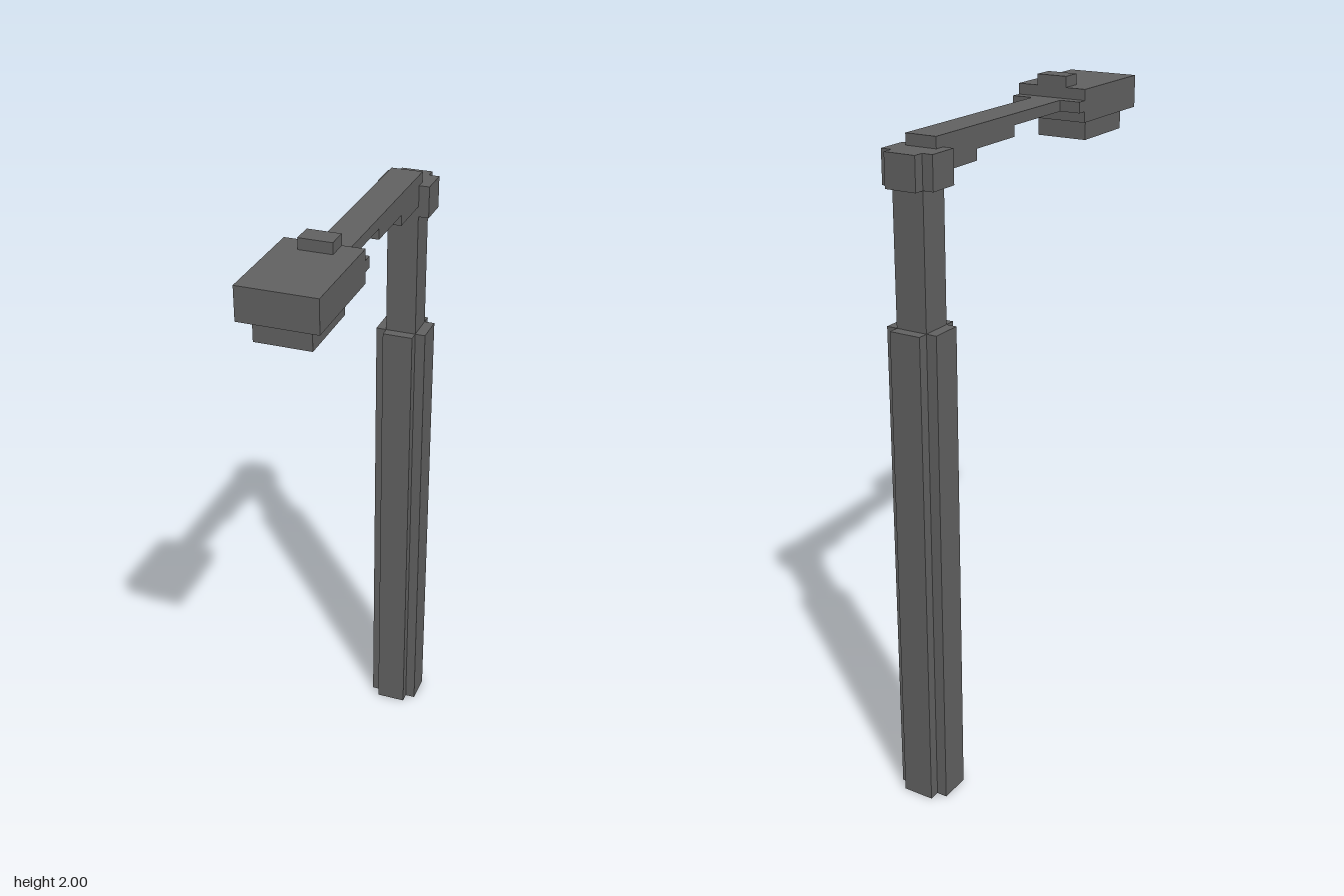
import * as THREE from 'three';

const U = 1 / 32; // modelling unit: the whole lamp is 64 units tall

export function createModel() {
  const lamp = new THREE.Group();
  lamp.name = 'streetLamp';
  const metal = new THREE.MeshStandardMaterial({ color: 0x606060 });
  metal.name = 'darkGreyMetal';

  const add = (name, geometry) => {
    const mesh = new THREE.Mesh(geometry, metal);
    mesh.name = name;
    lamp.add(mesh);
  };

  // Box centred on x, given its half width and its y and z limits in units
  const block = (name, halfX, y0, y1, z0, z1) => {
    const g = new THREE.BoxGeometry(2 * halfX * U, (y1 - y0) * U, (z1 - z0) * U);
    add(name, g.translate(0, (y0 + y1) / 2 * U, (z0 + z1) / 2 * U));
  };

  // Upright prism from half an outline of [x, z] points, mirrored in x
  const prism = (name, half, y0, y1) => {
    const outline = [...half, ...half.map(([x, z]) => [-x, z]).reverse()];
    const shape = new THREE.Shape(outline.map(([x, z]) => new THREE.Vector2(x * U, -z * U)));
    const g = new THREE.ExtrudeGeometry(shape, { depth: (y1 - y0) * U, bevelEnabled: false });
    add(name, g.rotateX(-Math.PI / 2).translate(0, y0 * U, 0));
  };

  // Post: notched lower column, slim upper column, elbow joint
  prism('lowerPost', [[1.5, -12], [1.5, -13], [2.5, -13], [2.5, -16], [1.5, -16], [1.5, -17]], 0, 46);
  block('upperPost', 1.5, 46, 58, -16, -13);
  prism('elbowJoint', [[2.5, -13], [2.5, -16], [1.5, -16], [1.5, -17]], 58, 61);

  // Arm with stepped supports underneath
  block('arm', 1.5, 61, 62, -14, 6);
  block('longArmSupport', 1.5, 60, 61, -13, -2);
  block('shortArmSupport', 1.5, 59, 60, -13, -8);

  // Lamp head
  block('headRearLip', 3.5, 61, 62, 6, 7);
  block('lampHead', 3.5, 60, 63, 7, 17);
  block('lampLens', 2.5, 58, 60, 9, 16);
  block('headTopSensor', 1.5, 63, 64, 7, 9);

  return lamp;
}
